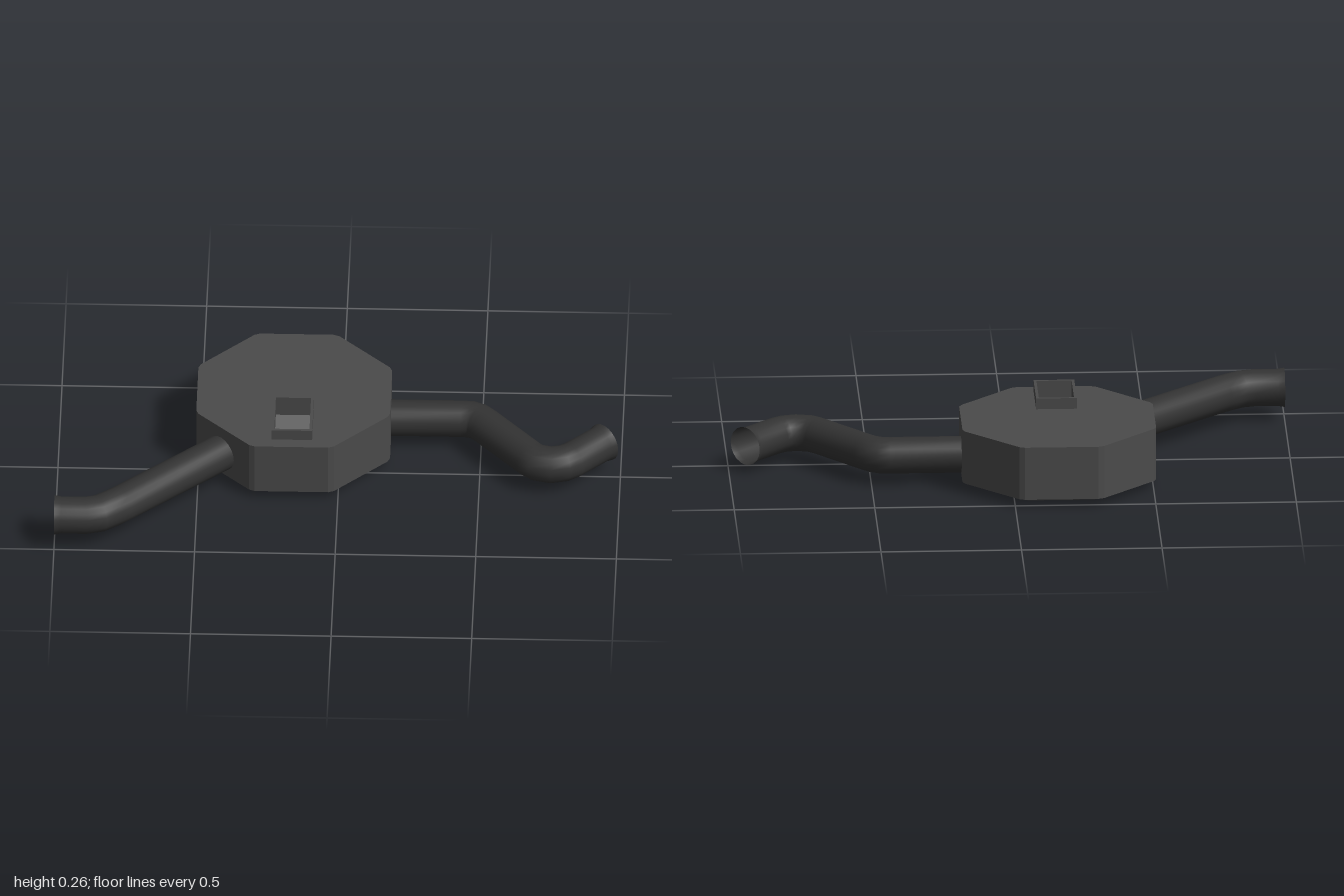
import * as THREE from 'three';

const mat = (color, flatShading) =>
  new THREE.MeshStandardMaterial({ color, flatShading, side: THREE.DoubleSide });
const bodyMat = mat(0x4a4a4a, true);
const floorMat = mat(0x666666, true);
const pipeMat = mat(0x333333, false);

function named(name, geometry, material) {
  const mesh = new THREE.Mesh(geometry, material);
  mesh.name = name;
  return mesh;
}

// Upright prism of a plan shape (plan y points to -z), with optional hole
function prism(points, hole, y0, y1) {
  const shape = new THREE.Shape(points);
  if (hole) shape.holes.push(new THREE.Path(hole));
  return new THREE.ExtrudeGeometry(shape, { depth: y1 - y0, bevelEnabled: false })
    .rotateX(-Math.PI / 2).translate(0, y0, 0);
}

function polygon(n, r, turn = 0) {
  return Array.from({ length: n }, (_, i) => {
    const a = turn + i * 2 * Math.PI / n;
    return new THREE.Vector2(r * Math.cos(a), r * Math.sin(a));
  });
}

// Cuts each corner of a polygon by a small distance
function cutCorners(pts, d) {
  return pts.flatMap((p, i) => [pts.at(i - 1), pts[(i + 1) % pts.length]].map(q =>
    p.clone().add(q.clone().sub(p).setLength(d))));
}

function rect(w, h, cy) {
  return [[-1, -1], [1, -1], [1, 1], [-1, 1]].map(([x, y]) =>
    new THREE.Vector2(x * w / 2, cy + y * h / 2));
}

// Open pipe along a level path of [x, z] points, slightly flared at the end
function pipe(path, y, r, flare, sides = 20) {
  const pts = path.map(([x, z]) => new THREE.Vector3(x, y, z));
  const up = new THREE.Vector3(0, 1, 0);
  const pos = [], index = [];
  pts.forEach((p, i) => {
    const a = p.clone().sub(pts[Math.max(i - 1, 0)]).normalize();
    const b = pts[Math.min(i + 1, pts.length - 1)].clone().sub(p).normalize();
    const t = a.clone().add(b).normalize();
    const mitre = 1 / Math.max(t.dot(a), t.dot(b));
    const side = up.clone().cross(t);
    const rad = i === pts.length - 1 ? flare : r;
    for (let j = 0; j < sides; j++) {
      const ang = j * 2 * Math.PI / sides;
      const v = p.clone().addScaledVector(side, rad * mitre * Math.cos(ang))
        .addScaledVector(up, rad * Math.sin(ang));
      pos.push(v.x, v.y, v.z);
      if (i < pts.length - 1) {
        const k = i * sides + j, l = i * sides + (j + 1) % sides;
        index.push(k, l, k + sides, l, l + sides, k + sides);
      }
    }
  });
  const g = new THREE.BufferGeometry();
  g.setAttribute('position', new THREE.Float32BufferAttribute(pos, 3));
  g.setIndex(index);
  g.computeVertexNormals();
  return g;
}

export function createModel() {
  const model = new THREE.Group();
  const housing = new THREE.Group();
  housing.name = 'housing';
  housing.position.set(-0.165, 0, -0.18);
  model.add(housing);

  // Octagonal body with an opening in the top
  const octagon = cutCorners(polygon(8, 0.373, Math.PI / 8), 0.012);
  const opening = rect(0.125, 0.19, -0.195);
  housing.add(named('body', prism(octagon, null, 0.03, 0.185), bodyMat));
  housing.add(named('bodyTop', prism(octagon, opening, 0.185, 0.225), bodyMat));

  // Raised collar and the floor inside it
  housing.add(named('collar', prism(rect(0.145, 0.21, -0.195), opening, 0.225, 0.265), bodyMat));
  housing.add(named('collarFloor', prism(opening, null, 0.185, 0.19), floorMat));

  // Chamfered base plate
  const baseEdge = new THREE.CylinderGeometry(0.32, 0.32, 0.014, 8).rotateY(Math.PI / 8);
  const baseChamfer = new THREE.CylinderGeometry(0.32, 0.305, 0.012, 8).rotateY(Math.PI / 8);
  housing.add(named('basePlate', baseEdge.translate(0, 0.026, 0), bodyMat));
  housing.add(named('baseChamfer', baseChamfer.translate(0, 0.013, 0), bodyMat));

  // Hexagonal ring under the base
  housing.add(named('baseRing', prism(polygon(6, 0.095), polygon(6, 0.06), 0, 0.008), bodyMat));

  // Pipes
  model.add(named('leftPipe', pipe([
    [0.14, -0.203], [0.43, -0.203], [0.465, -0.2], [0.492, -0.186], [0.515, -0.162],
    [0.68, 0.034], [0.705, 0.056], [0.755, 0.069], [0.8, 0.058], [0.828, 0.038],
    [0.925, -0.059], [0.942, -0.076],
  ], 0.098, 0.065, 0.07), pipeMat));
  model.add(named('rightPipe', pipe([
    [-0.35, -0.01], [-0.765, 0.376], [-0.795, 0.402], [-0.84, 0.436], [-0.89, 0.45],
    [-0.975, 0.45], [-1, 0.45],
  ], 0.116, 0.066, 0.07), pipeMat));

  return model;
}
